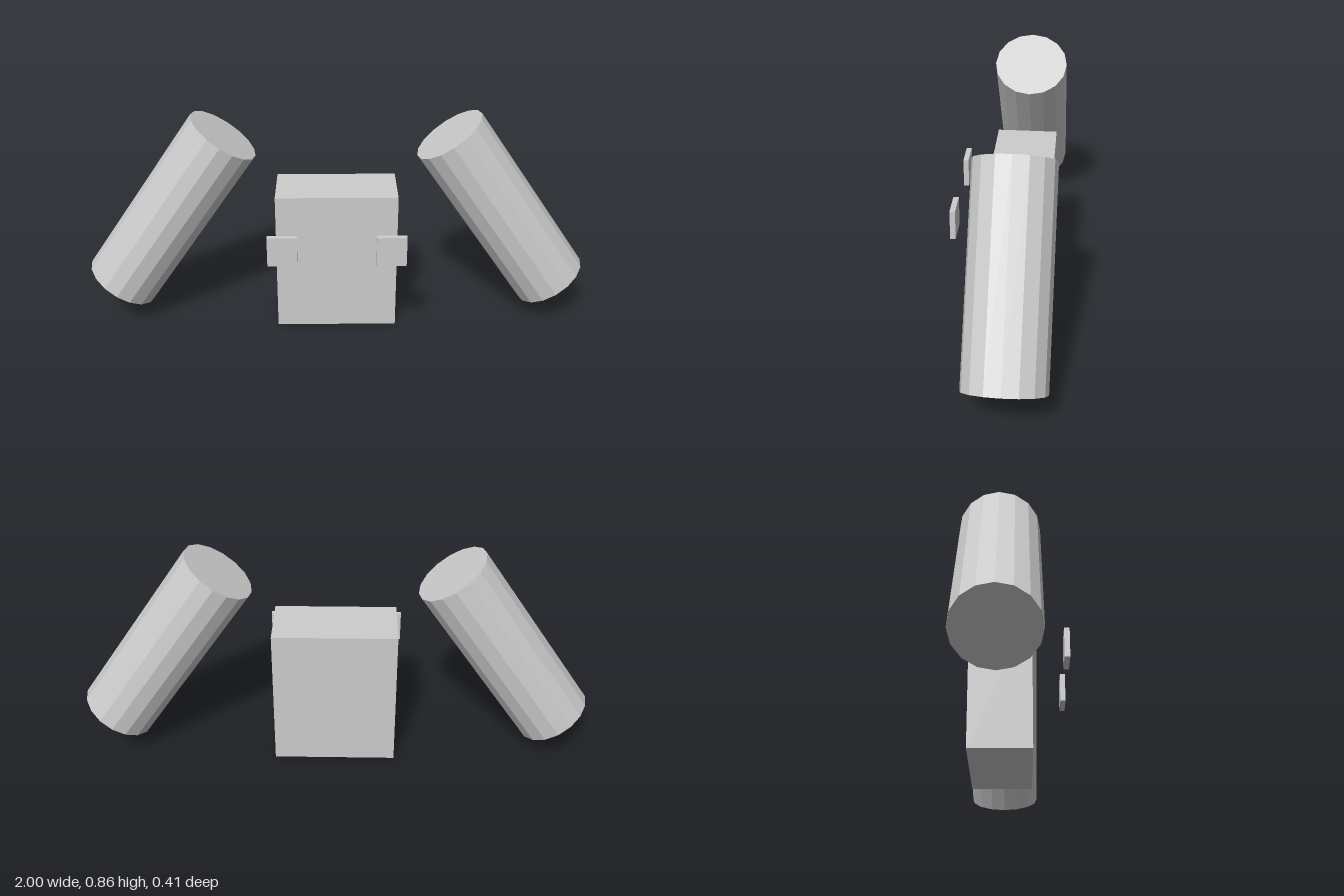
import * as THREE from 'three';

export function createModel() {
  const model = new THREE.Group();
  model.name = 'figure';

  const lightGrey = new THREE.MeshStandardMaterial({ color: 0xcccccc, flatShading: true });
  lightGrey.name = 'lightGrey';

  function add(name, geometry, x, y, z, tilt = 0) {
    const mesh = new THREE.Mesh(geometry, lightGrey);
    mesh.name = name;
    mesh.position.set(x, y, z);
    mesh.rotation.z = tilt;
    model.add(mesh);
  }

  // Central block standing on the ground
  add('body', new THREE.BoxGeometry(0.476, 0.566, 0.238), 0, 0.283, -0.054);

  // Mirrored pairs: slanted cylinders leaning inward, and small plates in front
  const armGeometry = new THREE.CylinderGeometry(0.148, 0.148, 0.772, 16);
  const plateGeometry = new THREE.BoxGeometry(0.114, 0.118, 0.021);
  for (const [side, label] of [[1, 'left'], [-1, 'right']]) {
    add(label + 'Arm', armGeometry, side * 0.657, 0.464, -0.054, side * 0.612);
    add(label + 'Plate', plateGeometry, side * 0.208, 0.404, 0.193);
  }
  return model;
}
